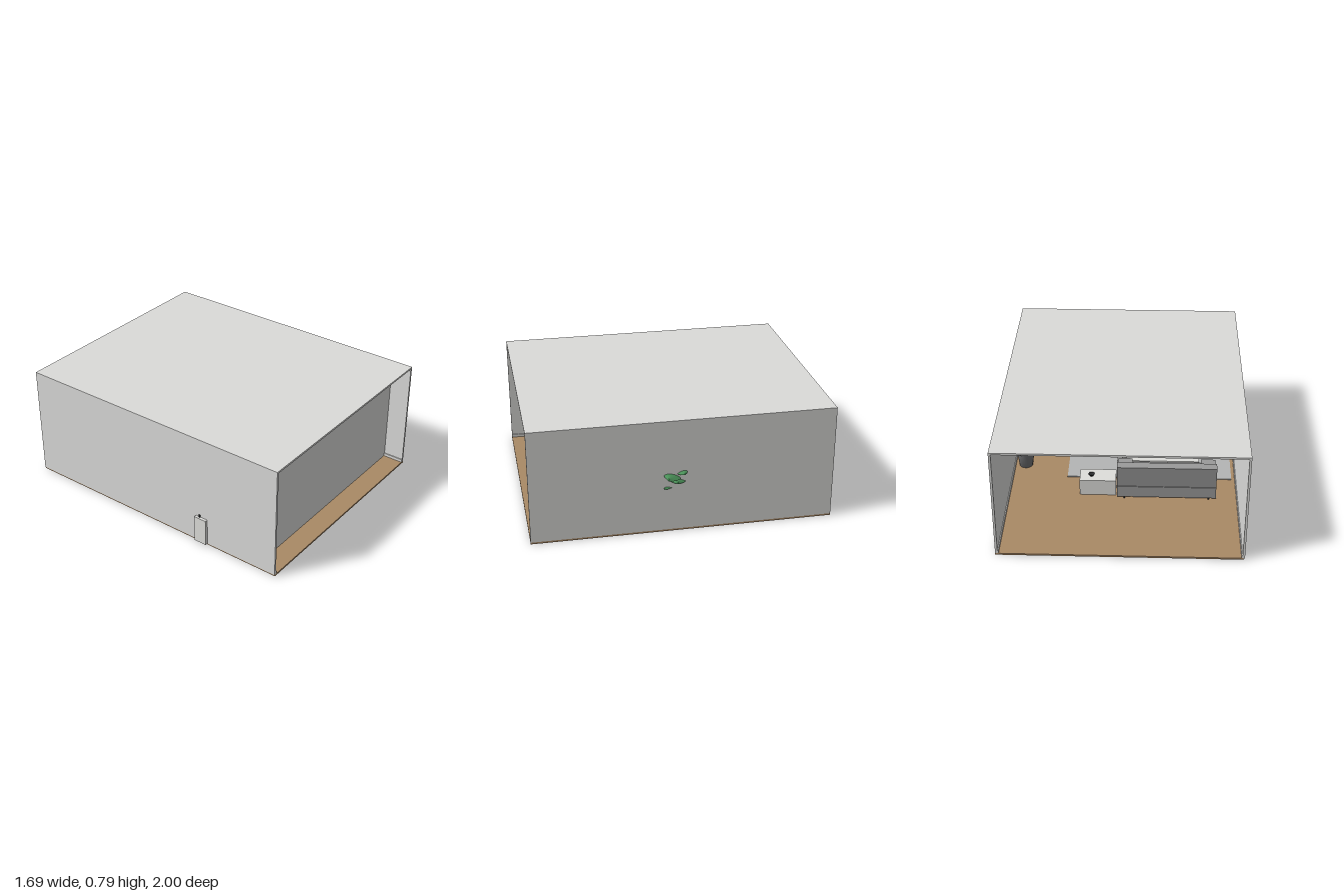
import * as THREE from 'three';

const mat = (name, color, side = THREE.FrontSide) => {
  const m = new THREE.MeshStandardMaterial({ color, side });
  m.name = name;
  return m;
};

export function createModel() {
  const root = new THREE.Group();
  root.name = 'livingRoom';
  const wall = mat('wallGrey', 0xdbdbd9);
  const wood = mat('floorWood', 0xaa8a66);
  const white = mat('cabinetWhite', 0xdededb);
  const fabric = mat('sofaGrey', 0x9a9a9a);
  const rugGrey = mat('rugGrey', 0xb4b5b5);
  const dark = mat('darkMetal', 0x2e2f31);
  const potGrey = mat('potGrey', 0x77787a, THREE.DoubleSide);
  const green = mat('leafGreen', 0x4a9058, THREE.DoubleSide);
  const soil = mat('soil', 0x3b2a1e);

  const add = (parent, name, geo, m, x = 0, y = 0, z = 0) => {
    const mesh = new THREE.Mesh(geo, m);
    mesh.name = name;
    mesh.position.set(x, y, z);
    parent.add(mesh);
    return mesh;
  };
  // box given by its limits on each axis
  const box = (parent, name, m, x0, x1, y0, y1, z0, z1) =>
    add(parent, name, new THREE.BoxGeometry(x1 - x0, y1 - y0, z1 - z0), m,
      (x0 + x1) / 2, (y0 + y1) / 2, (z0 + z1) / 2);
  const group = (name) => {
    const g = new THREE.Group();
    g.name = name;
    root.add(g);
    return g;
  };

  // room shell, open at the back, with a wall set in from the front
  const room = group('room');
  box(room, 'floor', wood, -0.82, 0.785, 0, 0.012, -1, 1);
  box(room, 'rightWall', wall, -0.825, -0.81, 0.012, 0.785, -1, 1);
  box(room, 'leftWall', wall, 0.77, 0.785, 0.012, 0.785, -1, 1);
  box(room, 'ceiling', wall, -0.81, 0.77, 0.772, 0.785, -1, 1);
  box(room, 'frontWall', wall, -0.81, 0.77, 0.012, 0.772, 0.84, 0.855);
  box(room, 'rightSkirting', wall, -0.81, -0.803, 0.012, 0.033, -1, 1);
  box(room, 'leftSkirting', wall, 0.763, 0.77, 0.012, 0.033, -1, 1);

  // rug
  box(root, 'rug', rugGrey, -0.78, 0.38, 0.012, 0.018, -0.12, 0.31);

  // sofa facing the front, its back toward the open side
  const sofa = group('sofa');
  box(sofa, 'base', fabric, -0.66, 0.02, 0.035, 0.12, -0.38, -0.12);
  const back = box(sofa, 'backrest', fabric, -0.66, 0.02, 0.125, 0.285, -0.385, -0.325);
  back.rotation.x = -0.08;
  for (const x of [-0.61, -0.03]) {
    box(sofa, 'armrest', fabric, x - 0.05, x + 0.05, 0.12, 0.18, -0.32, -0.12);
    for (const z of [-0.36, -0.14])
      add(sofa, 'leg', new THREE.CylinderGeometry(0.008, 0.006, 0.025, 10), dark, x, 0.0245, z);
  }
  for (const x of [-0.44, -0.2])
    box(sofa, 'seatCushion', fabric, x - 0.118, x + 0.118, 0.12, 0.15, -0.32, -0.115);

  // side cabinet with a small bowl
  const cabinet = group('sideCabinet');
  box(cabinet, 'cabinetBody', white, 0.03, 0.28, 0.012, 0.13, -0.33, -0.19);
  const bowl = [[0, 0], [0.012, 0], [0.022, 0.016], [0.019, 0.016], [0.01, 0.004], [0, 0.004]]
    .map(p => new THREE.Vector2(...p));
  add(cabinet, 'bowl', new THREE.LatheGeometry(bowl, 20), dark, 0.2, 0.13, -0.27);

  // coffee table with two small ornaments
  const table = group('coffeeTable');
  box(table, 'tableTop', white, -0.55, 0.03, 0.105, 0.12, -0.06, 0.14);
  for (const x of [-0.53, 0.01]) for (const z of [-0.04, 0.12])
    box(table, 'tableLeg', dark, x - 0.008, x + 0.008, 0.018, 0.105, z - 0.008, z + 0.008);
  add(table, 'whiteOrnament', new THREE.SphereGeometry(0.02, 16, 12), white, -0.02, 0.14, -0.03);
  add(table, 'darkCup', new THREE.CylinderGeometry(0.016, 0.012, 0.025, 16), dark, 0, 0.1325, 0.04);

  // long media console opposite the sofa, passing into the right wall
  const media = group('mediaConsole');
  for (const y of [0.012, 0.1, 0.188])
    box(media, 'shelf', white, -0.845, 0.21, y, y + 0.012, 0.38, 0.47);
  for (const x of [-0.845, -0.497, -0.149, 0.198])
    box(media, 'upright', white, x, x + 0.012, 0.012, 0.2, 0.38, 0.47);
  box(media, 'backPanel', white, -0.845, 0.21, 0.012, 0.2, 0.462, 0.47);
  add(media, 'smallVase', new THREE.CylinderGeometry(0.006, 0.006, 0.016, 12), dark, -0.828, 0.208, 0.41);
  box(media, 'screenStand', dark, -0.4, -0.24, 0.2, 0.225, 0.41, 0.45);
  box(media, 'screen', dark, -0.58, -0.06, 0.225, 0.51, 0.422, 0.438);

  // potted plant beside the left wall
  const plant = group('pottedPlant');
  plant.position.set(0.69, 0.012, 0.03);
  const pot = [[0, 0], [0.047, 0], [0.062, 0.11], [0.069, 0.11], [0.07, 0.13], [0.062, 0.13], [0.058, 0.1]]
    .map(p => new THREE.Vector2(...p));
  add(plant, 'pot', new THREE.LatheGeometry(pot, 28), potGrey);
  add(plant, 'soil', new THREE.CylinderGeometry(0.058, 0.058, 0.006, 24), soil, 0, 0.112, 0);

  // bent leaf running along +x; it narrows to a tip and arches downward
  const leaf = (angle, start, length, width, height, rise, roll) => {
    const g = new THREE.PlaneGeometry(1, 1, 10, 4).rotateX(-Math.PI / 2);
    const p = g.attributes.position;
    for (let i = 0; i < p.count; i++) {
      const t = p.getX(i) + 0.5, s = p.getZ(i);
      const w = s * width * Math.pow(Math.sin(Math.PI * (0.06 + 0.94 * t)), 0.7);
      p.setXYZ(i, start + t * length, height + rise * t - 0.03 * t * t - 0.06 * s * s * width / 0.1 + roll * w, w);
    }
    g.computeVertexNormals();
    add(plant, 'leaf', g, green).rotation.y = -angle;
    // stalk from the soil to the leaf
    const c = Math.cos(angle), z = Math.sin(angle);
    const curve = new THREE.QuadraticBezierCurve3(
      new THREE.Vector3(0.01 * c, 0.11, 0.01 * z),
      new THREE.Vector3(0.012 * c, height * 0.8, 0.012 * z),
      new THREE.Vector3(start * c, height, start * z));
    add(plant, 'stalk', new THREE.TubeGeometry(curve, 8, 0.004, 6), green);
  };
  // angle, start, length, width, height, rise, roll
  const leaves = [
    [0.5, 0.04, 0.135, 0.11, 0.39, 0.04, 0.22],
    [-0.18, 0.04, 0.1, 0.07, 0.4, 0.05, -0.2],
    [0.15, 0.03, 0.1, 0.11, 0.35, 0.04, 0.05],
    [0.75, 0.03, 0.12, 0.06, 0.3, 0.04, 0],
    [1.6, 0.03, 0.13, 0.08, 0.33, 0.05, 0.1],
    [2.4, 0.03, 0.14, 0.09, 0.38, 0.05, -0.1],
    [3.3, 0.03, 0.13, 0.09, 0.34, 0.05, 0.1],
    [4.2, 0.03, 0.14, 0.08, 0.37, 0.05, 0],
    [5.0, 0.03, 0.12, 0.08, 0.31, 0.05, 0.1],
  ];
  for (const l of leaves) leaf(...l);

  return root;
}
